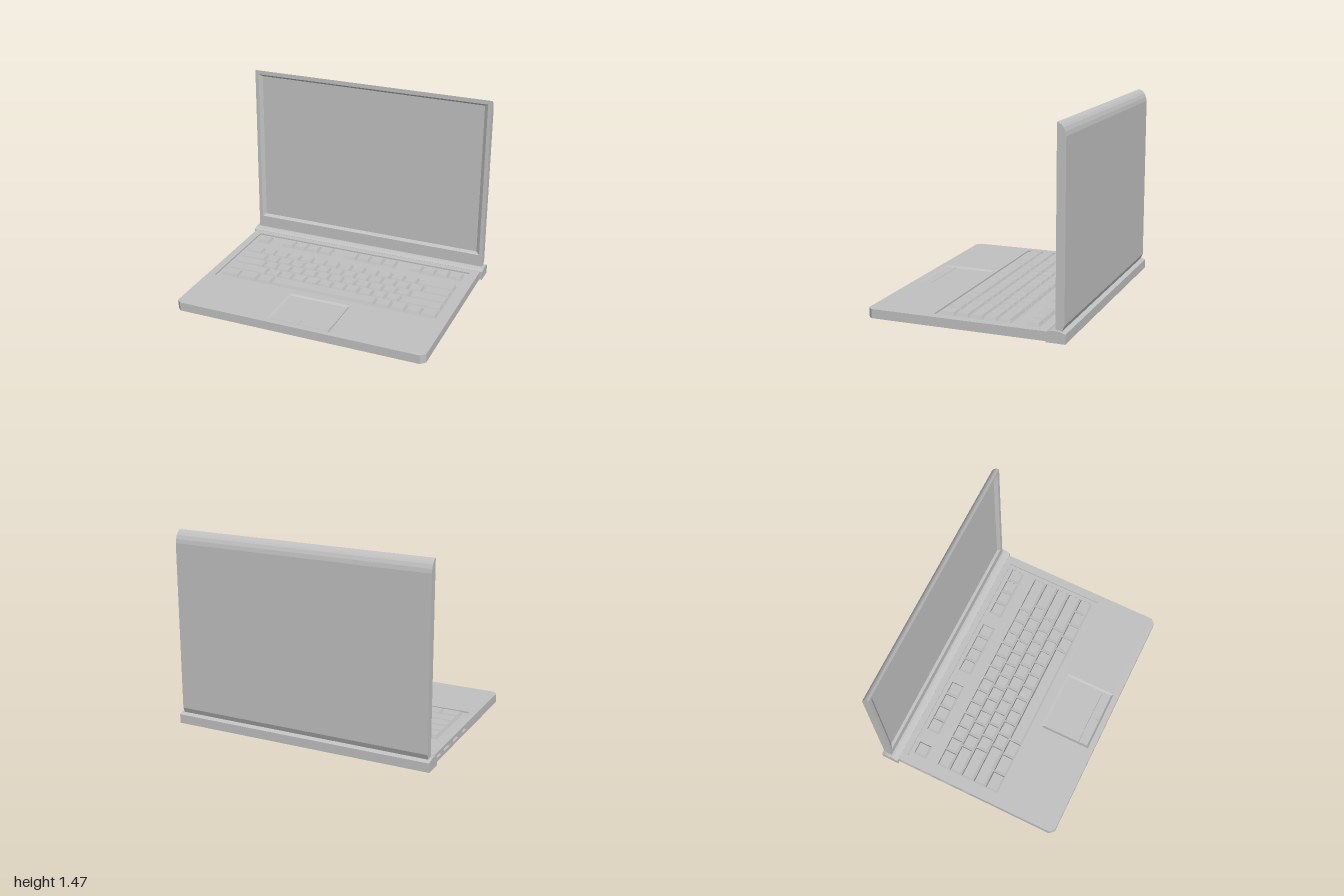
import * as THREE from 'three';

const grey = new THREE.MeshStandardMaterial({ color: 0xc0c0c0, flatShading: true });
grey.name = 'shell grey';

const points = (list) => list.map(([x, y]) => new THREE.Vector2(x, y));
const rect = (x0, y0, x1, y1) => [[x0, y0], [x1, y0], [x1, y1], [x0, y1]];

function extrude(outline, depth, holes = []) {
  const shape = new THREE.Shape(points(outline));
  for (const h of holes) shape.holes.push(new THREE.Path(points(h)));
  return new THREE.ExtrudeGeometry(shape, { depth, bevelEnabled: false });
}

// Outline in (x, -z), raised from y0 to y1
const slab = (outline, y0, y1, holes) =>
  extrude(outline, y1 - y0, holes).rotateX(-Math.PI / 2).translate(0, y0, 0);

// Outline in (-z, y), running from x0 to x1
const across = (outline, x0, x1, holes) =>
  extrude(outline, x1 - x0, holes).rotateY(Math.PI / 2).translate(x0, 0, 0);

// Four sloping walls from an outer rectangle down to an inner one, facing +z
function recessWalls(outer, inner, depth) {
  const pos = [];
  for (let i = 0; i < 4; i++) {
    const j = (i + 1) % 4;
    const a = [...outer[i], 0], b = [...outer[j], 0];
    const c = [...inner[j], -depth], d = [...inner[i], -depth];
    pos.push(...a, ...b, ...c, ...a, ...c, ...d);
  }
  const g = new THREE.BufferGeometry();
  g.setAttribute('position', new THREE.Float32BufferAttribute(pos, 3));
  g.computeVertexNormals();
  return g;
}

// Box whose top face is drawn in by an inset
function keyCap(x0, x1, z0, z1, y0, y1, inset) {
  const w = x1 - x0, d = z1 - z0;
  const g = new THREE.BoxGeometry(w, y1 - y0, d);
  const p = g.attributes.position;
  for (let i = 0; i < p.count; i++) {
    if (p.getY(i) > 0) {
      p.setX(i, p.getX(i) - Math.sign(p.getX(i)) * inset);
      p.setZ(i, p.getZ(i) - Math.sign(p.getZ(i)) * inset);
    }
  }
  g.computeVertexNormals();
  return g.translate((x0 + x1) / 2, (y0 + y1) / 2, (z0 + z1) / 2);
}

// Evenly spaced key edges
const run = (x0, x1, n) => Array.from({ length: n + 1 }, (_, i) => x0 + ((x1 - x0) * i) / n);

export function createModel() {
  const model = new THREE.Group();
  model.name = 'laptop';
  const add = (name, geometry, parent = model) => {
    const mesh = new THREE.Mesh(geometry, grey);
    mesh.name = name;
    parent.add(mesh);
    return mesh;
  };

  // Base: solid lower tray, then a top deck with wells for keyboard and touchpad
  const top = 0.068, floor = 0.056;
  const baseOutline = [[-0.945, 0.61], [-0.945, -0.705], [-0.98, -0.705], [-0.945, -0.74],
    [0.945, -0.74], [0.98, -0.705], [0.98, 0.61]];
  const padOuter = rect(-0.25, -0.695, 0.246, -0.29);
  const padInner = rect(-0.232, -0.68, 0.23, -0.305);
  add('baseTray', slab(baseOutline, 0, floor));
  add('baseDeck', slab(baseOutline, floor, top, [rect(-0.92, -0.25, 0.915, 0.555), padOuter]));

  // Side strip with port openings
  const ports = [[-0.58, -0.47], [-0.42, -0.31], [-0.24, -0.14], [-0.05, 0.02]];
  add('portStrip', across(rect(-0.705, 0, 0.61, top), -0.98, -0.945,
    ports.map(([z0, z1]) => rect(-z1, 0.026, -z0, 0.046))));

  // Touchpad well and its two buttons
  add('touchpadRim', recessWalls(padOuter, padInner, top - floor)
    .rotateX(-Math.PI / 2).translate(0, top, 0));
  for (const [x0, x1] of [[-0.23, -0.004], [0, 0.228]]) {
    add('touchpadButton', keyCap(x0, x1, 0.605, 0.678, floor, floor + 0.005, 0.002));
  }

  // Keyboard: each row is a front and back z plus runs of key edges
  const rows = [
    [-0.52, -0.415, [-0.885, -0.775], run(-0.665, -0.22, 4), run(-0.11, 0.335, 4), run(0.445, 0.885, 4)],
    [-0.312, -0.21, [-0.885, ...run(-0.743, 0.588, 12), 0.885]],
    [-0.207, -0.106, [-0.885, ...run(-0.663, 0.663, 12), 0.885]],
    [-0.102, -0.002, [-0.885, ...run(-0.625, 0.599, 11), 0.885]],
    [0.003, 0.104, [-0.885, ...run(-0.556, 0.552, 10), 0.885]],
    [0.108, 0.212, [-0.885, -0.738, -0.583, -0.455, ...run(0.396, 0.885, 4)]],
  ];
  const keyboard = new THREE.Group();
  keyboard.name = 'keyboard';
  model.add(keyboard);
  for (const [z0, z1, ...runs] of rows) {
    for (const edges of runs) {
      for (let i = 0; i + 1 < edges.length; i++) {
        add('key', keyCap(edges[i] + 0.002, edges[i + 1] - 0.002, z0, z1, floor, 0.081, 0.011), keyboard);
      }
    }
  }

  // Hinge bar, slightly wider than the base
  add('hingeBar', across([[0.605, 0], [0.742, 0], [0.742, 0.068], [0.715, 0.08], [0.69, 0.085],
    [0.65, 0.085], [0.625, 0.079], [0.605, 0.07]], -1, 1));

  // Lid shell with rounded top edge
  const lid = new THREE.Group();
  lid.name = 'lid';
  model.add(lid);
  const front = -0.665, screenZ = -0.685;
  add('lidShell', across([[-screenZ, 0.078], [0.71, 0.078], [0.728, 0.12], [0.728, 1.375],
    [0.722, 1.405], [0.71, 1.432], [0.698, 1.447], [-screenZ, 1.457]], -0.978, 0.978), lid);

  // Bezel frame; its rear top edge drops to meet the shell
  const screenOuter = rect(-0.95, 0.18, 0.95, 1.432);
  const screenInner = rect(-0.922, 0.2, 0.922, 1.415);
  const bezel = extrude(rect(-0.978, 0.078, 0.978, 1.465), front - screenZ, [screenOuter]);
  const p = bezel.attributes.position;
  for (let i = 0; i < p.count; i++) {
    if (p.getY(i) > 1.45 && p.getZ(i) < 0.001) p.setY(i, 1.457);
  }
  bezel.computeVertexNormals();
  add('bezel', bezel.translate(0, 0, screenZ), lid);
  add('screenRim', recessWalls(screenOuter, screenInner, front - screenZ).translate(0, 0, front), lid);
  add('screen', new THREE.PlaneGeometry(1.844, 1.215).translate(0, 0.8075, screenZ + 0.001), lid);

  return model;
}
